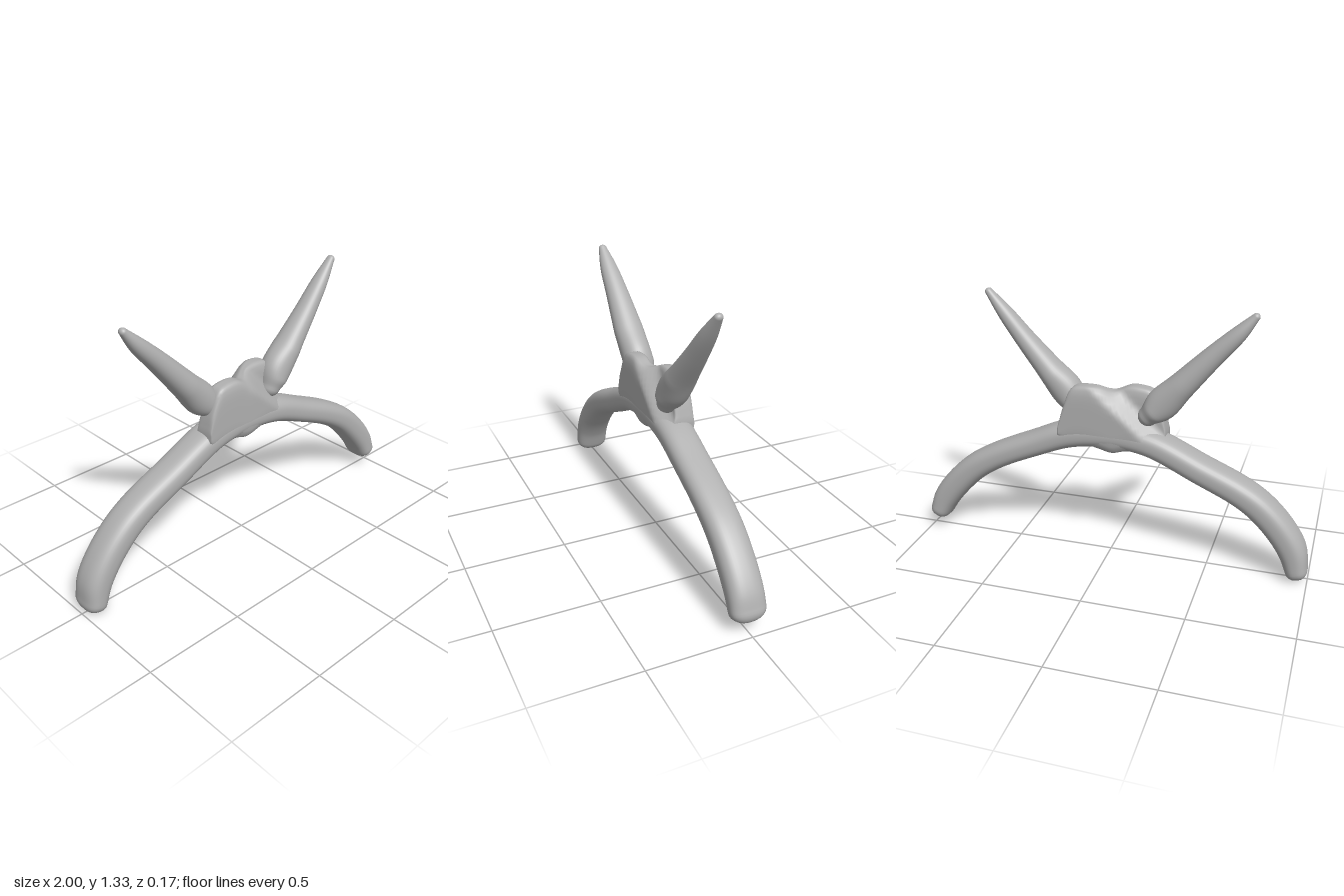
import * as THREE from 'three';

const DEPTH = 0.085;
const SEG = 40;

// Unit rounded-square outline; a higher p gives squarer corners
function outline(p) {
  return Array.from({ length: SEG }, (_, j) => {
    const a = (j / SEG) * Math.PI * 2, c = Math.cos(a), s = Math.sin(a);
    const r = 1 / Math.pow(Math.abs(c) ** p + Math.abs(s) ** p, 1 / p);
    return [c * r, s * r];
  });
}

// Skins a list of rings with a smooth closed surface
function loft(rings) {
  const pos = rings.flat(2), idx = [];
  for (let i = 0; i < rings.length - 1; i++) {
    for (let j = 0; j < SEG; j++) {
      const k = (j + 1) % SEG;
      const a = i * SEG + j, b = i * SEG + k, c = b + SEG, d = a + SEG;
      idx.push(a, b, c, a, c, d);
    }
  }
  const g = new THREE.BufferGeometry();
  g.setAttribute('position', new THREE.Float32BufferAttribute(pos, 3));
  g.setIndex(idx);
  g.computeVertexNormals();
  return g;
}

// Sweeps an outline along points [x, y, halfWidth], with round ends
function limb(points, p, depthAt, zAt, steps) {
  const curve = new THREE.CatmullRomCurve3(points.map((q) => new THREE.Vector3(...q)), false, 'centripetal');
  const shape = outline(p), rings = [];
  const ring = (t, scale, push) => {
    const c = curve.getPoint(t), d = curve.getTangent(t);
    const l = Math.hypot(d.x, d.y), tx = d.x / l, ty = d.y / l;
    const w = c.z * scale, depth = depthAt(t, c.z) * scale;
    const x = c.x + tx * c.z * push, y = c.y + ty * c.z * push;
    rings.push(shape.map(([u, v]) => [x - ty * w * u, y + tx * w * u, zAt(t) + depth * v]));
  };
  const CAP = 7;
  for (let k = 0; k < CAP; k++) {
    const a = (k / CAP) * Math.PI / 2;
    ring(0, Math.sin(a), -Math.cos(a));
  }
  for (let i = 0; i <= steps; i++) ring(i / steps, 1, 0);
  for (let k = 1; k <= CAP; k++) {
    const a = (k / CAP) * Math.PI / 2;
    ring(1, Math.cos(a), Math.sin(a));
  }
  return loft(rings);
}

// Central block, hollowed diagonally on opposite front and back corners
function bodyGeometry() {
  const profile = new THREE.CatmullRomCurve3([
    [-0.275, 0.64, 0.69], [-0.25, 0.6, 0.79], [-0.2, 0.59, 0.885], [-0.15, 0.592, 0.9],
    [-0.09, 0.588, 0.9], [-0.02, 0.57, 0.876], [0.05, 0.585, 0.902], [0.12, 0.6, 0.906],
    [0.18, 0.6, 0.89], [0.22, 0.61, 0.8], [0.25, 0.64, 0.69],
  ].map((q) => new THREE.Vector3(...q)));
  const hollow = (x, y) => 0.075 * THREE.MathUtils.smoothstep((x + 0.02) * 0.67 + (y - 0.87) * 0.75, -0.03, 0.06);
  const shape = outline(5), rings = [], steps = 48;
  for (let i = -1; i <= steps + 1; i++) {
    const c = profile.getPoint(THREE.MathUtils.clamp(i / steps, 0, 1));
    const s = i < 0 || i > steps ? 0 : 1;
    const mid = (c.y + c.z) / 2, half = ((c.z - c.y) / 2) * s;
    rings.push(shape.map(([u, v]) => {
      const y = mid + half * u;
      const front = DEPTH - hollow(c.x, y), back = -DEPTH + hollow(-c.x, y);
      return [c.x, y, (front + back) / 2 + ((front - back) / 2) * v * s];
    }));
  }
  return loft(rings);
}

export function createModel() {
  const grey = new THREE.MeshStandardMaterial({ color: 0xb0b0b0 });
  grey.name = 'plain grey';
  const model = new THREE.Group();
  model.name = 'archedStand';
  const add = (name, geometry) => {
    const mesh = new THREE.Mesh(geometry, grey);
    mesh.name = name;
    model.add(mesh);
  };

  add('body', bodyGeometry());

  // Both legs form one continuous arch
  add('archedLegs', limb([
    [-0.942, 0.06, 0.056], [-0.915, 0.155, 0.068], [-0.85, 0.258, 0.071], [-0.75, 0.362, 0.07],
    [-0.65, 0.43, 0.068], [-0.45, 0.522, 0.066], [-0.2, 0.632, 0.065], [0, 0.655, 0.065],
    [0.2, 0.632, 0.066], [0.4, 0.552, 0.063], [0.6, 0.46, 0.064], [0.73, 0.378, 0.068],
    [0.84, 0.272, 0.07], [0.91, 0.18, 0.066], [0.943, 0.112, 0.056],
  ], 2.6, () => DEPTH, () => 0, 90));

  // Tapering upper spikes, offset to opposite faces at the base
  const spikes = {
    rightSpike: [-1, [[-0.19, 0.775, 0.05], [-0.25, 0.835, 0.078], [-0.345, 0.94, 0.066],
      [-0.49, 1.1, 0.05], [-0.6, 1.215, 0.037], [-0.668, 1.295, 0.018]]],
    leftSpike: [1, [[0.175, 0.765, 0.05], [0.222, 0.845, 0.078], [0.315, 0.955, 0.062],
      [0.43, 1.09, 0.048], [0.53, 1.215, 0.036], [0.609, 1.315, 0.018]]],
  };
  for (const [name, [side, points]] of Object.entries(spikes)) {
    add(name, limb(points, 2.1, (t, w) => Math.min(0.075, w * 1.15),
      (t) => side * 0.014 * (1 - t), 36));
  }
  return model;
}
